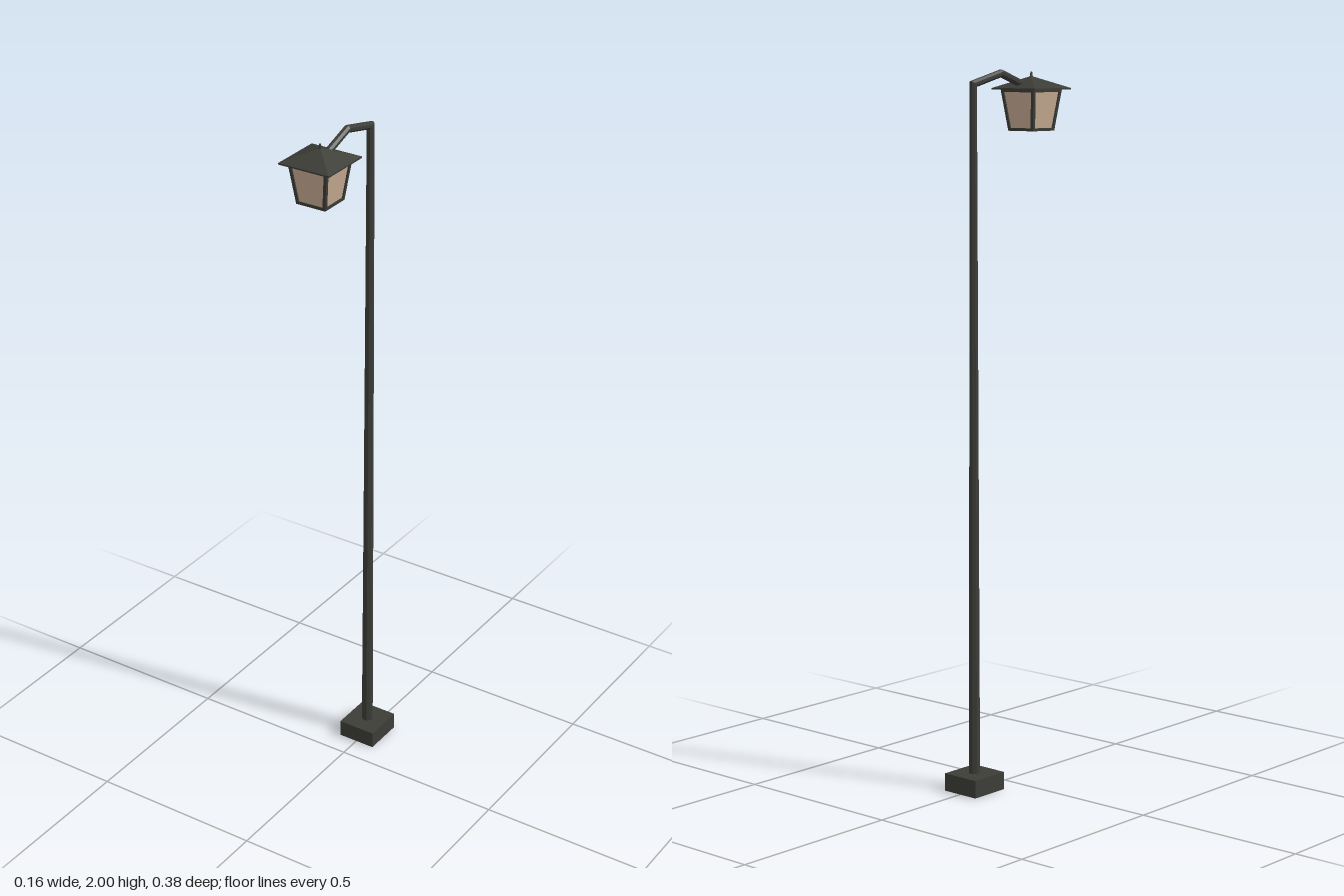
import * as THREE from 'three';

const metal = new THREE.MeshStandardMaterial({ color: 0x3c3d37 });
metal.name = 'dark iron';
const glass = new THREE.MeshStandardMaterial({ color: 0xc6ab92 });
glass.name = 'warm glass';

function add(parent, name, geometry, material, x = 0, y = 0, z = 0) {
  const flat = geometry.index ? geometry.toNonIndexed() : geometry;
  flat.computeVertexNormals();
  const mesh = new THREE.Mesh(flat, material);
  mesh.name = name;
  mesh.position.set(x, y, z);
  parent.add(mesh);
  return mesh;
}

// Square frustum with half widths at top and bottom, standing on y = 0
function frustum(top, bottom, height) {
  return new THREE.CylinderGeometry(top * Math.SQRT2, bottom * Math.SQRT2, height, 4)
    .rotateY(Math.PI / 4).translate(0, height / 2, 0);
}

// Mitred sweep in the yz plane; each point is [y, z, radius]
function sweep(points, sides) {
  const P = points.map(([y, z]) => new THREE.Vector2(z, y));
  const positions = [], index = [];
  points.forEach(([y, z, r], i) => {
    const before = P[i].clone().sub(P[Math.max(i - 1, 0)]).normalize();
    const after = P[Math.min(i + 1, P.length - 1)].clone().sub(P[i]).normalize();
    const t = before.clone().add(after).normalize();
    const stretch = 1 / t.dot(i ? before : after);
    for (let j = 0; j < sides; j++) {
      const a = ((j + 0.5) / sides) * Math.PI * 2;
      const s = r * Math.sin(a) * stretch;
      positions.push(r * Math.cos(a), y + t.x * s, z - t.y * s);
      const k = (j + 1) % sides, n = i * sides;
      if (i) index.push(n - sides + j, n - sides + k, n + k, n - sides + j, n + k, n + j);
    }
  });
  // End caps
  const last = (points.length - 1) * sides;
  for (let j = 1; j < sides - 1; j++) index.push(0, j + 1, j, last, last + j, last + j + 1);
  const g = new THREE.BufferGeometry();
  g.setAttribute('position', new THREE.Float32BufferAttribute(positions, 3));
  g.setIndex(index);
  return g;
}

export function createModel() {
  const model = new THREE.Group();
  model.name = 'streetLamp';
  const poleZ = -0.128;

  // Footing and tapered pole that bends into the arm
  add(model, 'base', new THREE.BoxGeometry(0.114, 0.05, 0.12), metal, 0, 0.025, poleZ);
  add(model, 'poleAndArm', sweep([
    [0.045, poleZ, 0.0165],
    [1.958, poleZ, 0.0105],
    [1.986, -0.016, 0.0105],
    [1.952, 0.08, 0.0105],
  ], 8), metal);

  const lantern = new THREE.Group();
  lantern.name = 'lantern';
  lantern.position.set(0, 1.828, 0.11);
  model.add(lantern);

  // Tapered glass body between a floor plate and a top rim
  const height = 0.114, topHalf = 0.06, bottomHalf = 0.045;
  add(lantern, 'glassBody', frustum(topHalf - 0.004, bottomHalf - 0.004, height), glass);
  add(lantern, 'floorPlate', frustum(bottomHalf + 0.001, bottomHalf, 0.008), metal);
  add(lantern, 'topRim', frustum(topHalf, topHalf - 0.001, 0.008), metal, 0, height - 0.008);

  // Corner posts leaning outward with the glass
  for (const sx of [-1, 1]) for (const sz of [-1, 1]) {
    const post = new THREE.BoxGeometry(0.009, height, 0.009).translate(0, height / 2, 0);
    const p = post.attributes.position;
    for (let i = 0; i < p.count; i++) {
      const half = THREE.MathUtils.lerp(bottomHalf, topHalf, p.getY(i) / height) - 0.0045;
      p.setX(i, p.getX(i) + sx * half);
      p.setZ(i, p.getZ(i) + sz * half);
    }
    add(lantern, 'cornerPost', post, metal);
  }

  // Pyramid roof with thin eaves and a small finial
  add(lantern, 'eaves', new THREE.BoxGeometry(0.156, 0.004, 0.154), metal, 0, height + 0.001);
  add(lantern, 'roof', frustum(0.004, 0.077, 0.031), metal, 0, height + 0.003);
  add(lantern, 'finial', new THREE.CylinderGeometry(0.0025, 0.0055, 0.02, 8), metal, 0, height + 0.037);

  return model;
}
